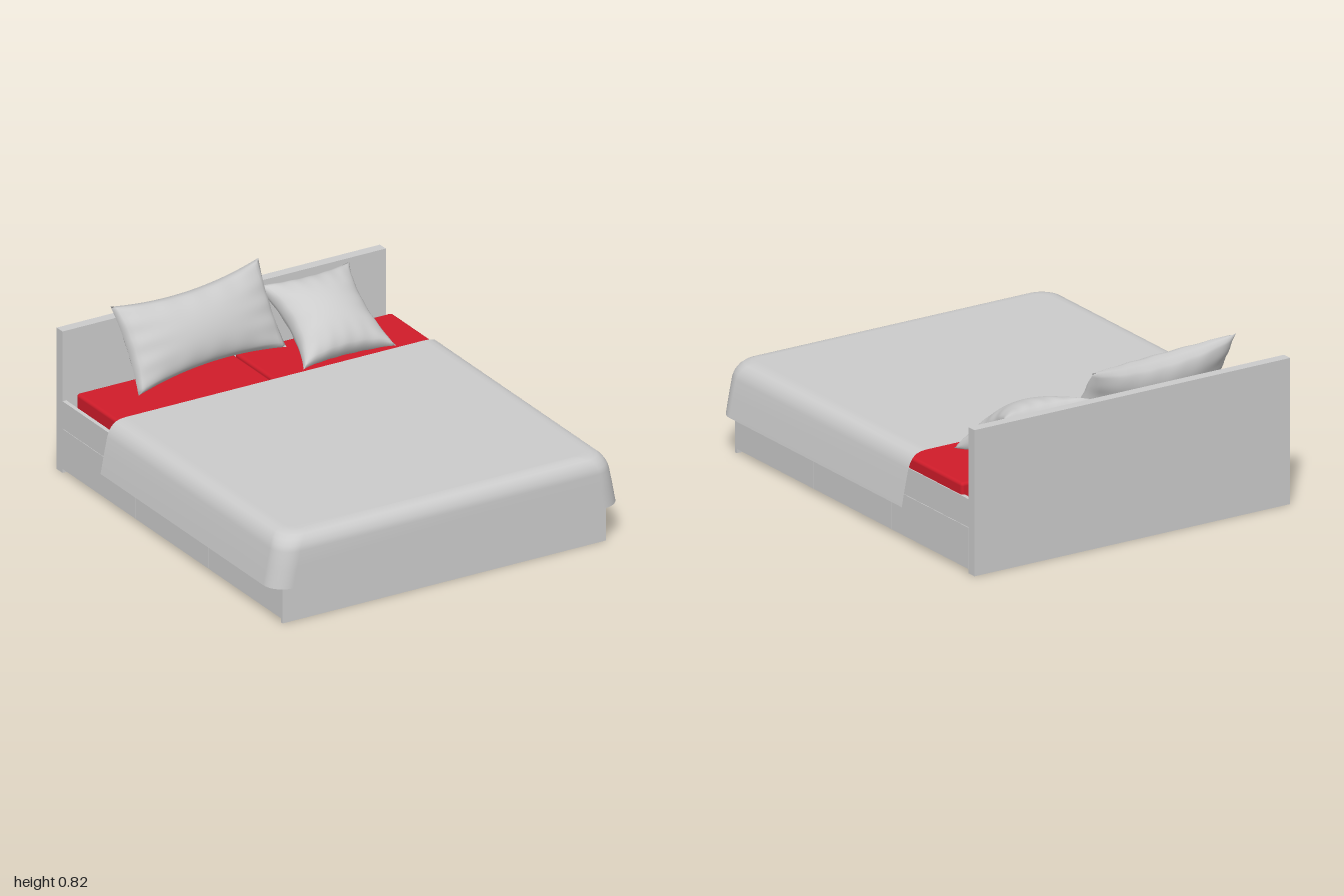
import * as THREE from 'three';
import { mergeGeometries, mergeVertices } from 'three/addons/utils/BufferGeometryUtils.js';
import { RoundedBoxGeometry } from 'three/addons/geometries/RoundedBoxGeometry.js';

const grey = new THREE.MeshStandardMaterial({ color: 0xcccccc });
const cloth = new THREE.MeshStandardMaterial({ color: 0xcccccc, side: THREE.DoubleSide });
const red = new THREE.MeshStandardMaterial({ color: 0xd01c2a });

// Box given by its limits on each axis; a radius rounds its edges
function block(name, [x0, x1], [y0, y1], [z0, z1], material = grey, radius = 0) {
  const size = [x1 - x0, y1 - y0, z1 - z0];
  const geometry = radius
    ? new RoundedBoxGeometry(...size, 3, radius)
    : new THREE.BoxGeometry(...size);
  const mesh = new THREE.Mesh(geometry, material);
  mesh.position.set((x0 + x1) / 2, (y0 + y1) / 2, (z0 + z1) / 2);
  mesh.name = name;
  return mesh;
}

// Bedspread: U-shaped rings rising from the hem, closed by a flat top
function bedspread() {
  const headZ = -0.5, cornerSteps = 10;
  // half width, front z, corner radius, height
  const rings = [
    [0.92, 1.0, 0.1, 0.19], [0.903, 1.0, 0.1, 0.28], [0.885, 1.0, 0.1, 0.365],
    [0.876, 0.995, 0.1, 0.39], [0.862, 0.984, 0.1, 0.413],
    [0.842, 0.967, 0.095, 0.43], [0.815, 0.945, 0.09, 0.438], [0.785, 0.92, 0.08, 0.44],
  ];
  const positions = [], index = [];
  const outline = ([w, front, r, y]) => {
    const points = [[w, y, headZ]];
    for (const side of [1, -1]) {
      for (let i = 0; i <= cornerSteps; i++) {
        const a = (side > 0 ? i : cornerSteps - i) / cornerSteps * Math.PI / 2;
        points.push([side * (w - r + r * Math.cos(a)), y, front - r + r * Math.sin(a)]);
      }
    }
    points.push([-w, y, headZ]);
    return points;
  };
  const rows = rings.map(outline);
  rows.push(rows[rows.length - 1].map(([, y, z]) => [0, y, z]));
  const n = rows[0].length;
  rows.forEach((row) => row.forEach((p) => positions.push(...p)));
  for (let k = 0; k < rows.length - 1; k++) {
    for (let i = 0; i < n - 1; i++) {
      const a = k * n + i, b = a + 1, c = a + n, d = c + 1;
      index.push(a, c, b, b, c, d);
    }
  }
  const geometry = new THREE.BufferGeometry();
  geometry.setAttribute('position', new THREE.Float32BufferAttribute(positions, 3));
  geometry.setIndex(index);
  geometry.computeVertexNormals();
  const mesh = new THREE.Mesh(geometry, cloth);
  mesh.name = 'bedspread';
  return mesh;
}

// Pillow: two bulged sheets with pinched edges, pointed corners and soft puckers
function pillow(name, width, height, thickness, pinchX, pinchY, center, across, up) {
  const sheets = [1, -1].map((side) => {
    const sheet = new THREE.PlaneGeometry(2, 2, 40, 40);
    if (side < 0) sheet.rotateY(Math.PI);
    sheet.deleteAttribute('uv');
    sheet.deleteAttribute('normal');
    const p = sheet.attributes.position;
    for (let i = 0; i < p.count; i++) {
      const u = p.getX(i), v = p.getY(i);
      const bu = Math.max(0, 1 - u * u), bv = Math.max(0, 1 - v * v);
      const bulge = Math.pow(bu * bv, 0.48);
      const pucker = 1 + 0.07 * (Math.pow(u, 4) * Math.sin(13 * v + side) + Math.pow(v, 4) * Math.sin(17 * u + 2 * side));
      p.setXYZ(i,
        u * width / 2 * (1 - pinchX * bv),
        v * height / 2 * (1 - pinchY * bu),
        side * thickness / 2 * bulge * pucker);
    }
    return sheet;
  });
  const geometry = mergeVertices(mergeGeometries(sheets), 1e-4);
  geometry.computeVertexNormals();
  const x = new THREE.Vector3(...across).normalize();
  const z = x.clone().cross(new THREE.Vector3(...up)).normalize();
  const y = z.clone().cross(x);
  geometry.applyMatrix4(new THREE.Matrix4().makeBasis(x, y, z));
  const mesh = new THREE.Mesh(geometry, grey);
  mesh.position.set(...center);
  mesh.name = name;
  return mesh;
}

export function createModel() {
  const bed = new THREE.Group();
  bed.name = 'bed';
  const left = 0.86, right = -0.845, panel = 0.02;

  // Boards at both ends
  bed.add(block('headboard', [right, left], [0, 0.7], [-1, -0.95]));
  bed.add(block('footboard', [right, left], [0, 0.36], [0.93, 0.945]));

  // Side rails with three drawer fronts below each
  for (const [side, x] of [['left', [left - panel, left]], ['right', [right, right + panel]]]) {
    bed.add(block(side + 'Rail', x, [0.22, 0.355], [-0.95, 0.93]));
    for (let i = 0; i < 3; i++) {
      const z = -0.95 + i * 0.627;
      bed.add(block(side + 'Drawer' + (i + 1), x, [0.02, 0.218], [z + 0.002, z + 0.625]));
    }
  }

  // Two mattresses side by side
  bed.add(block('rightMattress', [-0.81, 0.015], [0.22, 0.41], [-0.89, 0.925], red, 0.015));
  bed.add(block('leftMattress', [0.027, 0.855], [0.22, 0.41], [-0.89, 0.925], red, 0.015));

  bed.add(bedspread());

  // Pillows leaning on the headboard
  bed.add(pillow('largePillow', 0.84, 0.42, 0.2, 0.04, 0.2,
    [-0.22, 0.632, -0.8], [0.825, 0.005, -0.09], [0, 0.36, -0.2]));
  bed.add(pillow('smallPillow', 0.49, 0.48, 0.21, 0.2, 0.12,
    [0.415, 0.56, -0.735], [1, 0, 0], [0, 0.255, -0.405]));
  return bed;
}
